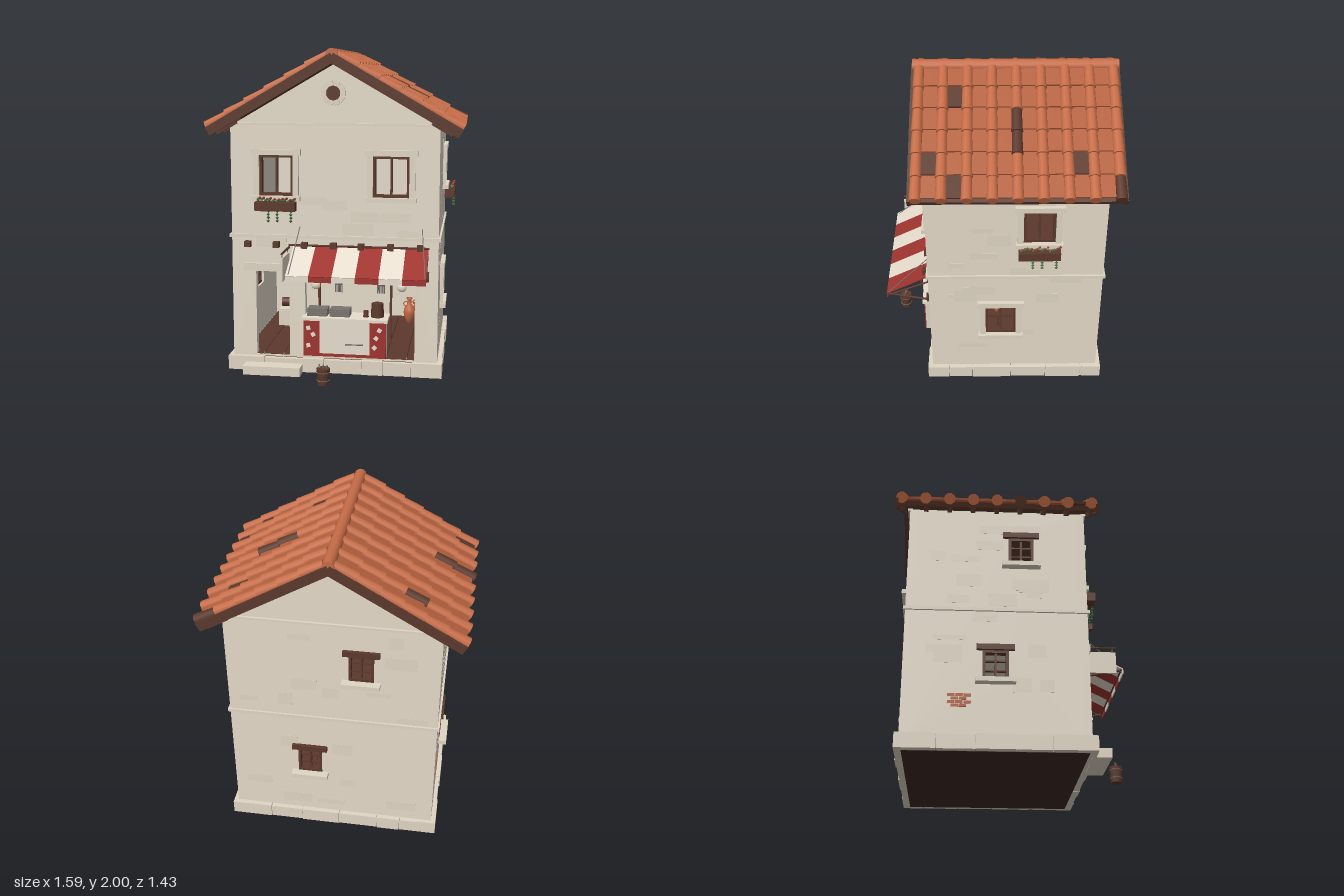
import * as THREE from 'three';

const mat = (name, color) => {
  const m = new THREE.MeshStandardMaterial({ color });
  m.name = name;
  return m;
};
const M = {
  wall: mat('plaster', 0xe5dbca), stone: mat('stone', 0xe0d6c4), tile: mat('terracotta', 0xc66c46),
  clay: mat('darkClay', 0xb4613e), wood: mat('darkWood', 0x5c392c), red: mat('redCloth', 0x9f3430),
  white: mat('cream', 0xf6ecdc), green: mat('leaf', 0x447240), soil: mat('earth', 0x3e2b25),
  metal: mat('metal', 0x78726b),
};

let seed = 7;
const rand = () => (seed = (seed * 16807) % 2147483647) / 2147483647;

function add(parent, name, geo, m, x = 0, y = 0, z = 0) {
  const mesh = new THREE.Mesh(geo, m);
  mesh.name = name;
  mesh.position.set(x, y, z);
  parent.add(mesh);
  return mesh;
}
const box = (p, name, m, w, h, d, x, y, z) => add(p, name, new THREE.BoxGeometry(w, h, d), m, x, y, z);
const cyl = (p, name, m, r1, r2, h, x, y, z, n = 10) =>
  add(p, name, new THREE.CylinderGeometry(r1, r2, h, n), m, x, y, z);
function rod(p, name, m, a, b, r) {
  const A = new THREE.Vector3(...a), d = new THREE.Vector3(...b).sub(A);
  const mesh = cyl(p, name, m, r, r, d.length(), 0, 0, 0, 6);
  mesh.position.copy(A).addScaledVector(d, 0.5);
  mesh.quaternion.setFromUnitVectors(new THREE.Vector3(0, 1, 0), d.normalize());
}
function group(parent, name, x = 0, y = 0, z = 0, ry = 0) {
  const g = new THREE.Group();
  g.name = name;
  g.position.set(x, y, z);
  g.rotation.y = ry;
  parent.add(g);
  return g;
}

// Facade frame: x runs right seen from outside, z = 0 is the outer wall face
function facade(root, name, pos, ry, u0, u1, gable, base, holes) {
  const f = group(root, name, ...pos, ry);
  const s = new THREE.Shape();
  s.moveTo(u0, 0.09); s.lineTo(u1, 0.09); s.lineTo(u1, 1.535);
  if (gable) s.lineTo(0, 1.905);
  s.lineTo(u0, 1.535);
  for (const [x, y, w, h] of holes) {
    const p = new THREE.Path();
    p.moveTo(x - w / 2, y - h / 2); p.lineTo(x - w / 2, y + h / 2);
    p.lineTo(x + w / 2, y + h / 2); p.lineTo(x + w / 2, y - h / 2);
    s.holes.push(p);
  }
  add(f, 'wall', new THREE.ExtrudeGeometry(s, { depth: 0.05, bevelEnabled: false }), M.wall, 0, 0, -0.05);
  // Worn plaster patches, kept clear of the openings
  for (let i = 0; i < 20; i++) {
    const w = 0.08 + rand() * 0.12, h = 0.03 + rand() * 0.06;
    const x = u0 + 0.12 + rand() * (u1 - u0 - 0.24), y = 0.16 + rand() * 1.3;
    const clear = holes.every(o => Math.abs(o[0] - x) > (o[2] + w) / 2 || Math.abs(o[1] - y) > (o[3] + h) / 2);
    if (clear) box(f, 'plasterPatch', M.stone, w, h, 0.002, x, y, 0);
  }
  // Foundation stones
  let x = base[0], k = 0;
  while (x < base[1] - 0.01) {
    let w = 0.12 + rand() * 0.14;
    if (base[1] - x - w < 0.1) w = base[1] - x;
    const out = k % 2 ? 0.025 : 0.03, h = k++ % 2 ? 0.083 : 0.088;
    box(f, 'foundationStone', M.stone, w - 0.002, h, 0.09 + out, x + w / 2, 0.002 + h / 2, (out - 0.09) / 2);
    x += w;
  }
  if (gable) box(f, 'gableBand', M.stone, 1.24, 0.014, 0.03, 0, 1.547, 0);
  return f;
}

function windowFrame(g, w, h, bars) {
  for (const s of [-1, 1]) {
    box(g, 'frameSide', M.wood, 0.016, h, 0.04, s * (w / 2 - 0.008), 0, -0.015);
    box(g, 'frameRail', M.wood, w, 0.016, 0.04, 0, s * (h / 2 - 0.008), -0.015);
  }
  box(g, 'mullion', M.wood, 0.013, h, 0.025, 0, 0, -0.02);
  for (let i = 1; i <= bars; i++)
    box(g, 'glazingBar', M.wood, w, 0.009, 0.02, 0, h * (i / (bars + 1) - 0.5), -0.02);
}
function stoneWindow(f, [x, y, w, h]) {
  const g = group(f, 'stoneWindow', x, y, 0);
  windowFrame(g, w, h, 0);
  for (const s of [-1, 1])
    box(g, 'jamb', M.stone, 0.035, h, 0.03, s * (w / 2 + 0.017), 0, 0.005);
  box(g, 'lintel', M.stone, w + 0.1, 0.035, 0.04, 0, h / 2 + 0.018, 0.008);
  box(g, 'sill', M.stone, w + 0.09, 0.028, 0.05, 0, -h / 2 - 0.014, 0.012);
}
function rusticWindow(f, [x, y, w, h]) {
  const g = group(f, 'rusticWindow', x, y, 0);
  windowFrame(g, w, h, 2);
  box(g, 'timberLintel', M.wood, w + 0.07, 0.034, 0.06, 0, h / 2 + 0.017, -0.008);
  box(g, 'sill', M.stone, w + 0.08, 0.028, 0.09, 0, -h / 2 - 0.014, 0.007);
}

function planter(f, x, y) {
  const g = group(f, 'flowerBox', x, y, 0.046);
  box(g, 'trough', M.wood, 0.25, 0.055, 0.065, 0, 0, 0);
  for (let i = 0; i < 10; i++) {
    const px = -0.11 + i * 0.0245, py = 0.032 + rand() * 0.015, pz = (rand() - 0.5) * 0.04;
    add(g, 'leaf', new THREE.IcosahedronGeometry(0.011, 0), M.green, px, py, pz);
    add(g, 'flower', new THREE.IcosahedronGeometry(0.009, 0), M.red, px + 0.012, py + 0.01, pz + 0.006);
  }
  for (const vx of [-0.04, 0.015, 0.1])
    for (let i = 0; i < 4; i++)
      add(g, 'trailingLeaf', new THREE.OctahedronGeometry(0.011), M.green, vx, -0.026 - i * 0.02, 0.024);
}

function roof(root) {
  const g = group(root, 'roof', 0, 1.955, 0), c = Math.cos(Math.PI / 6);
  const dark = { 1: ['b0,5', 'b4,2', 'b4,3', 'p1,4', 'p6,1', 'p6,5', 'p7,4'], '-1': ['b1,3', 'b5,4', 'b5,5', 'p7,5'] };
  const barrel = new THREE.CylinderGeometry(0.031, 0.035, 0.148, 10).rotateZ(Math.PI / 2);
  const pan = new THREE.BoxGeometry(0.146, 0.014, 0.115);
  for (const s of [1, -1]) {
    const slope = group(group(g, 'roofSide', 0, 0, 0, s > 0 ? 0 : Math.PI), 'slope');
    slope.rotation.z = -Math.PI / 6;
    box(slope, 'roofDeck', M.wood, 0.885, 0.03, 1.21, 0.4425, -0.011, s * -0.0975);
    for (const z of [0.51, -0.705])
      box(slope, 'bargeBoard', M.wood, 0.887, 0.058, 0.02, 0.4435, -0.011, s * z);
    for (let r = 0; r < 9; r++) {
      const z = -0.675 + r * 0.1435;
      box(slope, 'rafterEnd', M.wood, 0.14, 0.03, 0.025, 0.78, -0.04, s * z);
      for (let k = 0; k < 6; k++) {
        const u = (0.018 + 0.1245 * (k + 0.5)) / c, tint = (t, m) => dark[s].includes(t + r + ',' + k) ? M.wood : m;
        add(slope, 'barrelTile', barrel, tint('b', M.tile), u, 0.018, s * z).rotation.z = 0.05;
        if (r < 8)
          add(slope, 'panTile', pan, tint('p', M.clay), u - 0.016, 0.017, s * (z + 0.072)).rotation.z = 0.08;
      }
    }
  }
  for (let i = 0; i < 8; i++)
    add(g, 'ridgeTile', new THREE.CylinderGeometry(0.038, 0.035, 0.155, 12).rotateX(Math.PI / 2), M.tile,
      0, 0.007, -0.635 + i * 0.153);
}

function awning(root) {
  const g = group(root, 'awning'), tilt = Math.atan2(0.13, 0.25), n = 6, w = 0.83 / n;
  for (let i = 0; i < n; i++) {
    const m = i % 2 ? M.red : M.white, x = -0.25 + w * (i + 0.5);
    box(g, 'stripe', m, w, 0.006, 0.285, x, 0.733, 0.58).rotation.x = tilt;
    box(g, 'valance', m, w, 0.032, 0.006, x, 0.651, 0.706);
  }
  rod(g, 'wallRail', M.wood, [-0.28, 0.806, 0.455], [0.585, 0.806, 0.455], 0.007);
  rod(g, 'frontRail', M.wood, [-0.25, 0.664, 0.697], [0.585, 0.664, 0.697], 0.006);
  for (const x of [-0.235, 0.575]) {
    rod(g, 'lowerStrut', M.wood, [x, 0.61, 0.44], [x, 0.665, 0.7], 0.007);
    rod(g, 'upperStrut', M.wood, [x, 0.76, 0.44], [x, 0.65, 0.7], 0.006);
    box(g, 'strutBlock', M.wood, 0.02, 0.06, 0.02, x, 0.63, 0.45);
    rod(g, 'stay', M.metal, [x, 0.67, 0.7], [x + (x < 0 ? 0.025 : -0.035), 0.92, 0.44], 0.003);
  }
  for (const x of [-0.535, -0.355, -0.18, 0, 0.17, 0.35, 0.53])
    box(g, 'beamEnd', M.wood, 0.038, 0.036, 0.05, x, 0.808, 0.455);
  // Hanging sign board beside the awning
  rod(g, 'signBar', M.wood, [-0.28, 0.79, 0.43], [-0.28, 0.79, 0.66], 0.007);
  box(g, 'signBoard', M.stone, 0.012, 0.14, 0.2, -0.28, 0.692, 0.56);
  for (const z of [0.48, 0.64]) rod(g, 'signCord', M.metal, [-0.28, 0.79, z], [-0.28, 0.76, z], 0.003);
}

function vase(p, x, y, z, h) {
  const prof = [[0.001, 0], [0.09, 0], [0.18, 0.25], [0.22, 0.45], [0.2, 0.6], [0.09, 0.76], [0.08, 0.93], [0.13, 1], [0.06, 1], [0.001, 0.9]];
  add(p, 'amphora', new THREE.LatheGeometry(prof.map(([a, b]) => new THREE.Vector2(a * h, b * h)), 14), M.tile, x, y, z);
  for (const s of [-1, 1])
    add(p, 'amphoraHandle', new THREE.TorusGeometry(h * 0.09, h * 0.022, 5, 10), M.tile, x + s * h * 0.13, y + h * 0.77, z);
}

function shop(root) {
  const g = group(root, 'shop');
  // Counter with a painted front
  box(g, 'counterBody', M.stone, 0.5, 0.24, 0.13, 0.075, 0.23, 0.435);
  box(g, 'counterTop', M.white, 0.53, 0.018, 0.17, 0.075, 0.357, 0.43);
  box(g, 'redPanel', M.red, 0.51, 0.225, 0.006, 0.075, 0.235, 0.502);
  box(g, 'creamPanel', M.white, 0.31, 0.205, 0.006, 0.075, 0.245, 0.505);
  rod(g, 'knife', M.metal, [0.08, 0.205, 0.511], [0.19, 0.205, 0.511], 0.004);
  for (const [x, y] of [[-0.15, 0.3], [-0.12, 0.26], [-0.15, 0.19], [0.26, 0.19], [0.29, 0.3], [0.27, 0.25]])
    box(g, 'paintedMark', M.white, 0.025, 0.025, 0.004, x, y, 0.506).rotation.z = x * 9;
  // Goods on the counter
  for (const x of [-0.1, 0.04])
    for (let i = 0; i < 4; i++) box(g, 'tray', M.metal, 0.125, 0.009, 0.09, x, 0.372 + i * 0.012, 0.43);
  cyl(g, 'keg', M.wood, 0.037, 0.042, 0.085, 0.27, 0.41, 0.43);
  cyl(g, 'jar', M.wood, 0.014, 0.018, 0.04, 0.2, 0.386, 0.44);
  // Hanging wares
  rod(g, 'hangingRail', M.wood, [-0.17, 0.66, 0.5], [0.5, 0.66, 0.5], 0.005);
  for (const x of [0.035, 0.295]) {
    cyl(g, 'pot', M.metal, 0.026, 0.022, 0.055, x, 0.6, 0.47);
    for (let i = -2; i <= 2; i++) rod(g, 'spoon', M.metal, [x + i * 0.01, 0.58, 0.47], [x + i * 0.01, 0.525, 0.475], 0.004);
  }
  for (const x of [-0.11, 0.42])
    add(g, 'hangingCheese', new THREE.SphereGeometry(0.026, 10, 8), M.stone, x, 0.558, 0.45).scale.set(1.1, 1, 0.6);
  // Shelf and storage inside
  box(g, 'sideShelf', M.wood, 0.07, 0.012, 0.16, 0.555, 0.475, 0.0);
  vase(g, 0.555, 0.481, 0.02, 0.07);
  for (const x of [-0.165, 0.315]) box(g, 'rackPost', M.wood, 0.015, 0.46, 0.015, x, 0.33, 0.01);
  box(g, 'rackTop', M.wood, 0.5, 0.012, 0.02, 0.075, 0.555, 0.01);
  vase(g, 0.41, 0.1, -0.38, 0.185);
  vase(g, 0.475, 0.1, -0.42, 0.19);
  box(g, 'storageBlock', M.stone, 0.16, 0.12, 0.2, -0.41, 0.16, -0.3);
  cyl(g, 'cask', M.wood, 0.033, 0.033, 0.09, -0.435, 0.253, -0.28, 12).rotation.z = Math.PI / 2;
  // Doorstep and street bucket
  box(g, 'doorstep', M.stone, 0.36, 0.055, 0.11, -0.375, 0.0275, 0.505);
  cyl(g, 'bucket', M.wood, 0.042, 0.034, 0.1, -0.03, 0.052, 0.67, 12);
  for (const y of [0.03, 0.08])
    add(g, 'bucketHoop', new THREE.TorusGeometry(0.036 + y * 0.04, 0.003, 5, 14).rotateX(Math.PI / 2), M.metal, -0.03, y, 0.67);
  for (const d of [-0.02, 0, 0.02]) rod(g, 'stick', M.metal, [-0.03 + d, 0.09, 0.67], [-0.03 + d * 1.3, 0.125, 0.67 + d / 2], 0.005);
}

export function createModel() {
  const root = new THREE.Group();
  root.name = 'shopHouse';
  const H = Math.PI / 2;
  const fw = [[-0.355, 1.235, 0.21, 0.25], [0.35, 1.235, 0.22, 0.25]];
  const rw = [[0.235, 1.243, 0.19, 0.23], [0.005, 0.502, 0.19, 0.23]];
  const bw = [[0.175, 1.255, 0.15, 0.18], [-0.145, 0.508, 0.15, 0.18]];
  const lw = [[0.05, 1.255, 0.15, 0.18], [-0.1, 0.508, 0.15, 0.18]];
  const openings = [[-0.385, 0.37, 0.21, 0.54], [0.16, 0.37, 0.68, 0.54]];
  const front = facade(root, 'frontWall', [0, 0, 0.44], 0, -0.64, 0.64, true, [-0.67, 0.67], [...fw, ...openings]);
  const back = facade(root, 'backWall', [0, 0, -0.63], Math.PI, -0.64, 0.64, true, [-0.67, 0.67], bw);
  const right = facade(root, 'plusXWall', [0.64, 0, 0], H, -0.39, 0.58, false, [-0.465, 0.655], rw);
  const left = facade(root, 'minusXWall', [-0.64, 0, 0], -H, -0.58, 0.39, false, [-0.655, 0.465], lw);
  fw.forEach(w => stoneWindow(front, w));
  rw.forEach(w => stoneWindow(right, w));
  bw.forEach(w => rusticWindow(back, w));
  lw.forEach(w => rusticWindow(left, w));
  planter(front, -0.352, 1.05);
  planter(right, 0.235, 1.07);
  box(front, 'doorLintel', M.stone, 0.28, 0.048, 0.03, -0.425, 0.662, 0.005);

  // Round gable vent with a ring of stones
  add(front, 'ventDisc', new THREE.CylinderGeometry(0.045, 0.045, 0.008, 20).rotateX(H), M.wood, 0, 1.735, 0.002);
  for (let i = 0; i < 10; i++) {
    const a = i * Math.PI / 5;
    box(front, 'ventStone', M.stone, 0.03, 0.035, 0.024, Math.cos(a) * 0.058, 1.735 + Math.sin(a) * 0.058, 0.006).rotation.z = a;
  }
  // Exposed bricks
  for (let r = 0; r < 4; r++)
    for (let i = 0; i < 2 + (r % 2); i++)
      box(left, 'brick', M.clay, 0.042, 0.017, 0.004, -0.33 + i * 0.046 - (r % 2) * 0.02, 0.26 + r * 0.021, 0.001);

  // Floors and storey band
  box(root, 'underside', M.soil, 1.25, 0.02, 1.04, 0, 0.01, -0.095);
  for (let i = 0; i < 9; i++)
    box(root, 'floorBoard', M.wood, 0.126, 0.03, 1.0, -0.516 + i * 0.129, 0.087, -0.065);
  box(root, 'storeyBand', M.stone, 1.305, 0.02, 1.095, 0, 0.857, -0.095);
  box(root, 'upperFloor', M.wood, 1.18, 0.01, 0.97, 0, 0.872, -0.095);

  roof(root);
  awning(root);
  shop(root);
  return root;
}
